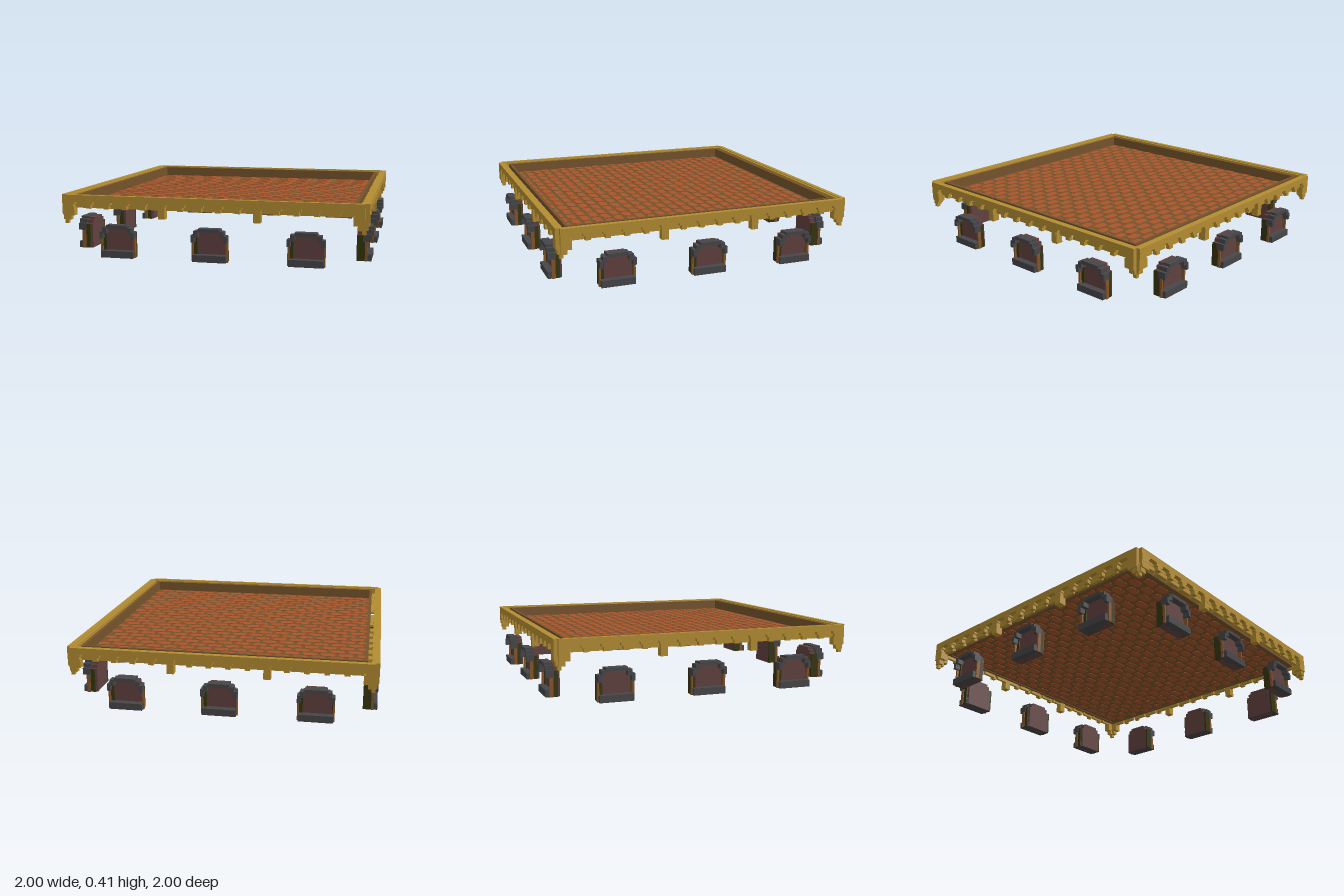
import * as THREE from 'three';
import { mergeGeometries } from 'three/addons/utils/BufferGeometryUtils.js';

const mat = (name, color, side = THREE.FrontSide) => {
  const m = new THREE.MeshStandardMaterial({ color, side });
  m.name = name;
  return m;
};

// Box given by its limits on each axis
const box = (x0, x1, y0, y1, z0, z1) =>
  new THREE.BoxGeometry(x1 - x0, y1 - y0, z1 - z0)
    .translate((x0 + x1) / 2, (y0 + y1) / 2, (z0 + z1) / 2);

// Flat outline pushed from z0 to z1
const plate = (points, z0, z1) =>
  new THREE.ExtrudeGeometry(new THREE.Shape(points.map(p => new THREE.Vector2(...p))),
    { depth: z1 - z0, bevelEnabled: false }).translate(0, 0, z0);

const part = (name, geometries, material) => {
  const mesh = new THREE.Mesh(mergeGeometries(geometries.map(g => g.index ? g.toNonIndexed() : g)), material);
  mesh.name = name;
  return mesh;
};

export function createModel() {
  const gold = mat('gold trim', 0xb48d32);
  const mortar = mat('brown mortar', 0x75532b, THREE.DoubleSide);
  const brick = mat('orange brick', 0xa8552b);
  const charcoal = mat('charcoal stone', 0x464648);
  const mauve = mat('mauve panel', 0x60413f);
  const olive = mat('dark olive', 0x35350f);
  const amber = mat('amber brown', 0x85562b);

  const model = new THREE.Group();
  model.name = 'corniceRoof';

  // Roof deck with thin bricks showing on both faces
  const deckY = 0.33, edge = 0.91;
  const deck = part('roofDeck', [new THREE.PlaneGeometry(1.84, 1.84).rotateX(-Math.PI / 2).translate(0, deckY, 0)], mortar);
  model.add(deck);
  const bricks = [];
  for (let r = 0; r < 25; r++) {
    const z = -0.86 + r * 0.0715, h = 0.026;
    for (let c = 0; c < 17; c++) {
      const mid = -0.96 + c * 0.1185 + (r % 2) * 0.059;
      const x0 = Math.max(mid - 0.047, -edge), x1 = Math.min(mid + 0.047, edge);
      if (x1 - x0 < 0.03) continue;
      const k = 0.012;
      bricks.push(plate([[x0 + k, -h], [x1 - k, -h], [x1, -h + k], [x1, h - k],
        [x1 - k, h], [x0 + k, h], [x0, h - k], [x0, -h + k]], -0.002, 0.002)
        .rotateX(-Math.PI / 2).translate(0, deckY, z));
    }
  }
  model.add(part('roofBricks', bricks, brick));

  // Cornice along one edge, with stepped arches cut in its lower edge
  const pitch = 0.124;
  const cornice = () => {
    const outline = [[0.975, 0.4], [-0.975, 0.4], [-0.975, 0.318]];
    for (let i = -7; i <= 7; i++) {
      const c = i * pitch;
      outline.push([c - 0.045, 0.318], [c - 0.045, 0.345], [c - 0.033, 0.345], [c - 0.033, 0.358],
        [c - 0.025, 0.365], [c + 0.025, 0.365], [c + 0.033, 0.358], [c + 0.033, 0.345],
        [c + 0.045, 0.345], [c + 0.045, 0.318]);
    }
    outline.push([0.975, 0.318]);
    const g = [
      plate(outline, 0.972, 1),
      box(-0.975, 0.975, 0.4, 0.405, 0.968, 1),
      box(-0.97, 0.97, 0.345, 0.4, 0.95, 0.972),
    ];
    // Inner teeth behind the arches
    for (let i = -7; i <= 7; i++) {
      const c = i * pitch;
      g.push(box(c - 0.046, c + 0.046, 0.318, 0.345, 0.95, 0.97));
      if (i < 0) g.push(box(c - 0.033, c + 0.033, 0.33, 0.36, 0.925, 0.95));
    }
    // Ledge closing half of the slot
    g.push(box(0, 0.27, 0.345, 0.36, 0.925, 0.95), box(0.36, 0.95, 0.345, 0.36, 0.925, 0.95));
    for (const s of [-1, 1]) {
      // Hanging brackets and stepped corner drops
      const span = (a, b, y0, y1, z0, z1) => box(Math.min(s * a, s * b), Math.max(s * a, s * b), y0, y1, z0, z1);
      g.push(span(0.287, 0.333, 0.265, 0.345, 0.95, 0.998));
      g.push(span(0.905, 0.975, 0.27, 0.33, 0.95, 0.999));
      g.push(span(0.932, 0.975, 0.24, 0.27, 0.955, 0.99));
    }
    g.push(box(0.955, 0.98, 0.215, 0.3, 0.955, 0.98));
    return part('cornice', g, gold);
  };

  // Arched window, facing +z
  const panelShape = [[-0.1, 0.0], [0.1, 0.0], [0.1, 0.165], [0.085, 0.165], [0.085, 0.19],
    [0.065, 0.19], [0.065, 0.207], [-0.065, 0.207], [-0.065, 0.19], [-0.085, 0.19], [-0.085, 0.165], [-0.1, 0.165]];
  const windowUnit = x => {
    const w = new THREE.Group();
    w.name = 'archedWindow';
    w.add(part('windowPanel', [plate(panelShape, 0.905, 0.955)], mauve));
    const stone = [
      box(-0.11, 0.11, 0, 0.045, 0.915, 0.999),
      box(-0.07, 0.07, 0.192, 0.215, 0.945, 0.999),
    ];
    for (const s of [-1, 1]) {
      stone.push(box(s * 0.107 - 0.011, s * 0.107 + 0.011, 0.125, 0.172, 0.945, 0.999));
      stone.push(box(s * 0.085 - 0.014, s * 0.085 + 0.014, 0.16, 0.2, 0.945, 0.999));
    }
    w.add(part('windowStone', stone, charcoal));
    w.add(part('windowReveal', [
      box(-0.112, -0.1, 0, 0.165, 0.905, 0.96),
      box(-0.1, -0.083, 0.045, 0.165, 0.955, 0.962),
      box(0.1, 0.112, 0, 0.165, 0.92, 0.95),
    ], olive));
    w.add(part('windowJambs', [
      box(-0.118, -0.106, 0, 0.13, 0.958, 0.975),
      box(0.106, 0.118, 0, 0.13, 0.95, 0.975),
    ], amber));
    w.position.x = x;
    return w;
  };

  // Four equal sides around the deck
  for (let i = 0; i < 4; i++) {
    const side = new THREE.Group();
    side.name = 'side';
    side.add(cornice());
    side.add(part('parapet', [box(-0.925, 0.905, 0.325, 0.398, 0.905, 0.925)], mortar));
    for (const x of [-0.617, 0, 0.617]) side.add(windowUnit(x));
    side.rotation.y = i * Math.PI / 2;
    model.add(side);
  }
  return model;
}
